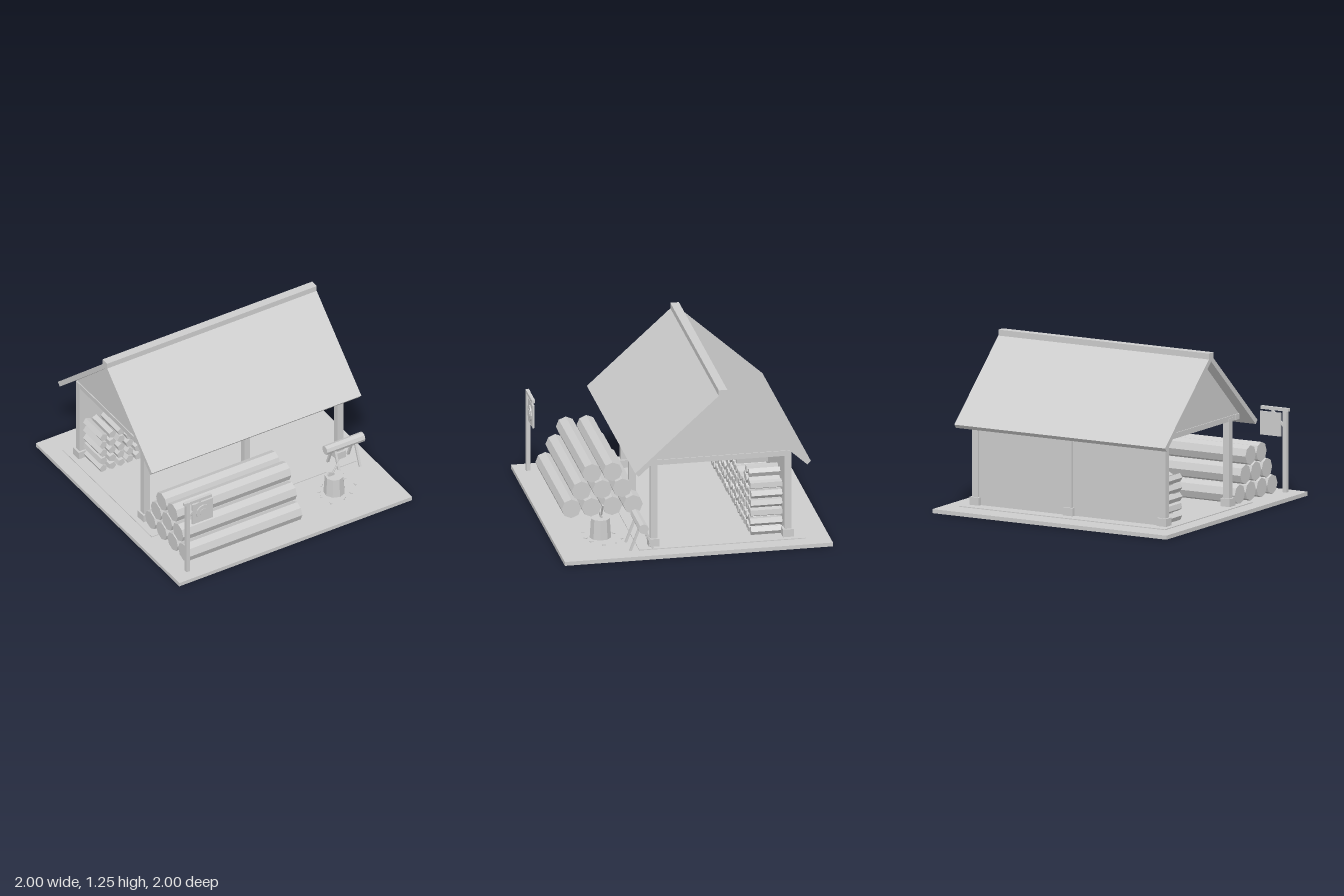
import * as THREE from 'three';

const grey = new THREE.MeshStandardMaterial({ color: 0xcccccc, flatShading: true });
grey.name = 'plain grey';

// Seeded random for small irregularities
let seed = 7;
const rnd = () => ((seed = (seed * 16807) % 2147483647) / 2147483647);

function add(parent, name, geometry, x = 0, y = 0, z = 0) {
  const mesh = new THREE.Mesh(geometry, grey);
  mesh.name = name;
  mesh.position.set(x, y, z);
  parent.add(mesh);
  return mesh;
}

// Box given by its minimum and maximum on each axis
const box = (parent, name, [x0, x1], [y0, y1], [z0, z1]) =>
  add(parent, name, new THREE.BoxGeometry(x1 - x0, y1 - y0, z1 - z0),
    (x0 + x1) / 2, (y0 + y1) / 2, (z0 + z1) / 2);

// Round or square bar running from point a to point b
function bar(parent, name, a, b, r0, r1, sides, turn = 0) {
  const p = new THREE.Vector3(...a), q = new THREE.Vector3(...b);
  const d = q.clone().sub(p);
  const geometry = new THREE.CylinderGeometry(r1, r0, d.length(), sides);
  geometry.rotateY(turn);
  const mesh = add(parent, name, geometry);
  mesh.position.copy(p).add(q).multiplyScalar(0.5);
  mesh.quaternion.setFromUnitVectors(new THREE.Vector3(0, 1, 0), d.normalize());
  return mesh;
}

// Outline in (z, y), extruded along x from x0 to x1
function alongX(parent, name, points, x0, x1) {
  const shape = new THREE.Shape(points.map(([z, y]) => new THREE.Vector2(-z, y)));
  const geometry = new THREE.ExtrudeGeometry(shape, { depth: x1 - x0, bevelEnabled: false });
  geometry.rotateY(Math.PI / 2);
  return add(parent, name, geometry, x0);
}

function group(parent, name) {
  const g = new THREE.Group();
  g.name = name;
  parent.add(g);
  return g;
}

function buildShed(model) {
  const shed = group(model, 'shed');
  const ridge = -0.2;

  // Posts on footings
  const posts = [[-0.8, 0.2], [0, 0.3], [0.8, 0.3], [-0.8, -0.7], [0, -0.7], [0.8, -0.7]];
  for (const [x, z] of posts) {
    box(shed, 'post', [x - 0.025, x + 0.025], [0.03, 0.69], [z - 0.025, z + 0.025]);
    box(shed, 'footing', [x - 0.04, x + 0.04], [0.03, 0.095], [z - 0.04, z + 0.04]);
  }

  // Beams and back wall
  for (const z of [0.3, -0.7]) box(shed, 'longBeam', [-0.825, 0.825], [0.665, 0.705], [z - 0.027, z + 0.027]);
  for (const x of [-0.8, 0.8]) {
    box(shed, 'crossBeam', [x - 0.022, x + 0.022], [0.667, 0.707], [-0.724, 0.324]);
    alongX(shed, 'gable', [[0.33, 0.705], [-0.73, 0.705], [ridge, 1.185]], x - 0.015, x + 0.015);
  }
  box(shed, 'backWall', [-0.8, 0.8], [0.03, 0.67], [-0.71, -0.685]);

  // Roof slopes and ridge cap
  for (const s of [-1, 1]) {
    const slope = [[0, 1.235], [0.655, 0.645], [0.63, 0.617], [0, 1.185]];
    alongX(shed, 'roofSlope', slope.map(([z, y]) => [ridge + s * z, y]), -0.9, 0.9);
  }
  box(shed, 'ridgeCap', [-0.9, 0.9], [1.195, 1.25], [ridge - 0.032, ridge + 0.032]);
}

function buildFirewood(model) {
  const stack = group(model, 'firewoodStack');
  const heights = [5, 5, 5, 5, 5, 5, 5, 5, 6, 6, 5, 7, 6, 6, 5, 5, 5, 6, 7, 7, 6];
  heights.forEach((count, i) => {
    for (let j = 0; j < count; j++) {
      const x = -0.765 + i * 0.075, y = 0.064 + j * 0.0715;
      bar(stack, 'firewood', [x, y, -0.67], [x, y, -0.44 + rnd() * 0.008], 0.033, 0.033, 5, rnd() * 6.28);
    }
  });
}

function buildLogPile(model) {
  const pile = group(model, 'logPile');
  const rows = [[0.105, [0.78, 0.63, 0.475, 0.32]], [0.24, [0.705, 0.55, 0.4]], [0.372, [0.627, 0.473]]];
  for (const [y, zs] of rows)
    for (const z of zs) bar(pile, 'log', [-0.83, y, z], [0.147, y, z], 0.073, 0.073, 8);
}

function buildChoppingBlock(model) {
  const block = group(model, 'choppingBlock');
  add(block, 'stump', new THREE.CylinderGeometry(0.07, 0.08, 0.15, 9), 0.55, 0.105, 0.645);

  // Axe stuck in the stump
  bar(block, 'axeHandle', [0.535, 0.185, 0.637], [0.6, 0.295, 0.637], 0.008, 0.007, 5);
  const head = add(block, 'axeHead', new THREE.BoxGeometry(0.055, 0.03, 0.014), 0.525, 0.19, 0.637);
  head.rotation.z = -0.5;

  // Chips on the ground
  for (let i = 0; i < 9; i++) {
    const a = i * 0.7 + rnd() * 0.3, r = 0.11 + rnd() * 0.07;
    const chip = add(block, 'woodChip', new THREE.BoxGeometry(0.026, 0.006, 0.012),
      0.55 + r * Math.cos(a), 0.034, 0.645 + r * Math.sin(a));
    chip.rotation.y = rnd() * 3;
  }
}

function buildSawhorse(model) {
  const horse = group(model, 'sawhorse');
  bar(horse, 'sawLog', [0.62, 0.22, 0.4], [0.945, 0.22, 0.4], 0.036, 0.038, 8);
  for (const x of [0.695, 0.87])
    for (const s of [-1, 1])
      bar(horse, 'sawhorseLeg', [x, 0.03, 0.4 + s * 0.085], [x, 0.24, 0.4 + s * 0.005], 0.012, 0.012, 4, Math.PI / 4);
}

function buildSign(model) {
  const sign = group(model, 'sign');
  box(sign, 'signPost', [-0.886, -0.856], [0.03, 0.655], [0.885, 0.915]);
  box(sign, 'signArm', [-0.9, -0.665], [0.632, 0.656], [0.888, 0.912]);
  bar(sign, 'signBrace', [-0.86, 0.515, 0.9], [-0.755, 0.635, 0.9], 0.01, 0.01, 4, Math.PI / 4);
  box(sign, 'signBoard', [-0.83, -0.655], [0.44, 0.615], [0.893, 0.908]);
  bar(sign, 'signDisc', [-0.742, 0.528, 0.9], [-0.742, 0.528, 0.918], 0.06, 0.06, 12);
  bar(sign, 'signDiscCentre', [-0.742, 0.528, 0.91], [-0.742, 0.528, 0.922], 0.032, 0.032, 12);
}

export function createModel() {
  const model = new THREE.Group();
  model.name = 'woodYard';
  box(model, 'ground', [-1, 1], [0, 0.03], [-1, 1]);
  box(model, 'shedFloor', [-0.88, 0.88], [0.029, 0.036], [-0.82, 0.42]);
  buildShed(model);
  buildFirewood(model);
  buildLogPile(model);
  buildChoppingBlock(model);
  buildSawhorse(model);
  buildSign(model);
  return model;
}
